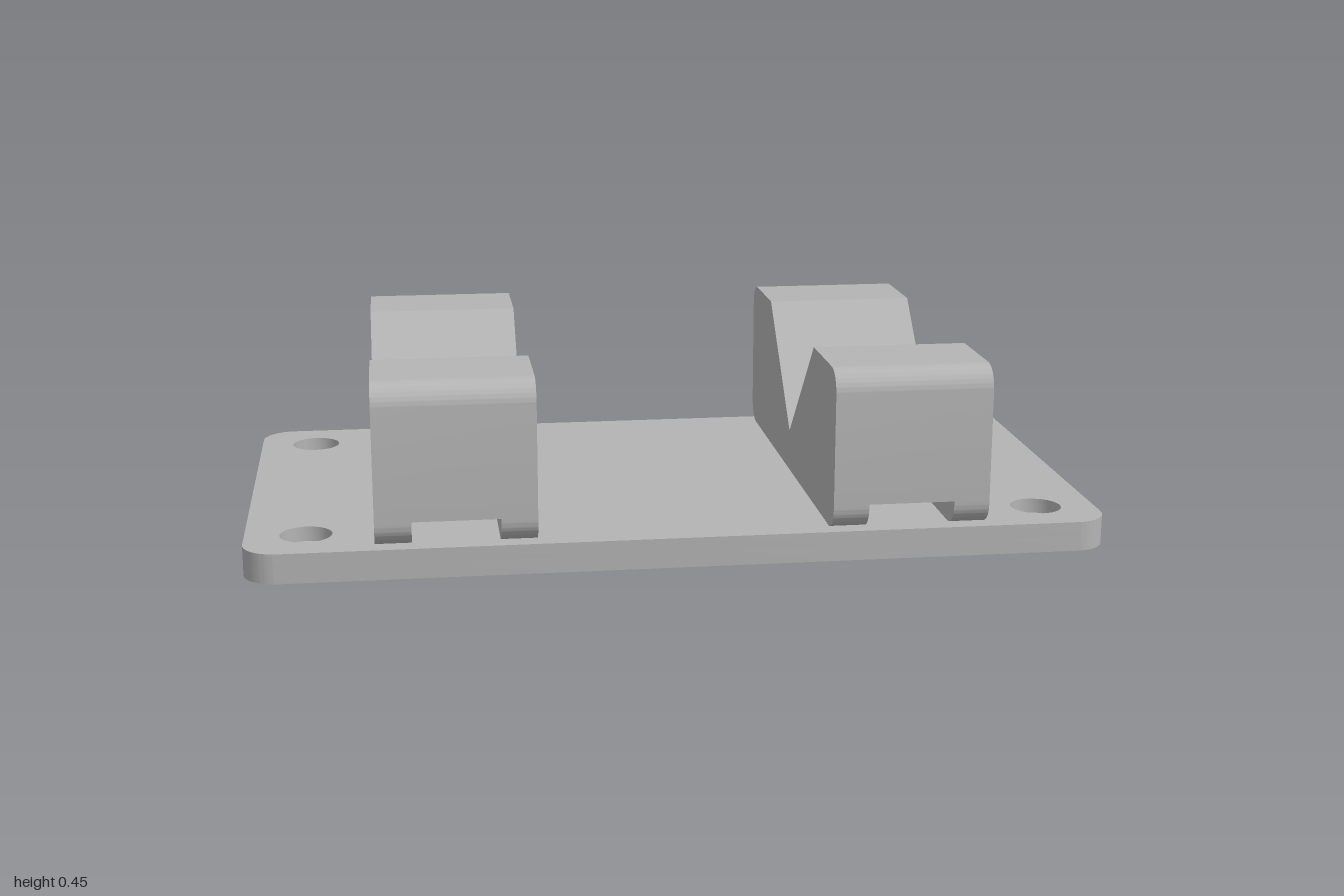
import * as THREE from 'three';
import { toCreasedNormals } from 'three/addons/utils/BufferGeometryUtils.js';

const PLATE_TOP = 0.07, HALF_X = 1, HALF_Z = 0.533;

// extrude a flat shape, keeping arcs smooth and edges sharp
function extrude(shape, depth) {
  const geo = new THREE.ExtrudeGeometry(shape, { depth, bevelEnabled: false, curveSegments: 16 });
  return toCreasedNormals(geo, 0.5);
}

// rounded plate outline with four round holes
function plateShape(holeRadius) {
  const r = 0.08, x = HALF_X - r, z = HALF_Z - r, q = Math.PI / 2;
  const s = new THREE.Shape();
  s.absarc(x, z, r, 0, q);
  s.absarc(-x, z, r, q, 2 * q);
  s.absarc(-x, -z, r, 2 * q, 3 * q);
  s.absarc(x, -z, r, 3 * q, 4 * q);
  s.closePath();
  for (const sx of [-1, 1]) for (const sz of [-1, 1]) {
    s.holes.push(new THREE.Path().absarc(sx * 0.86, sz * 0.395, holeRadius, 0, Math.PI * 2, true));
  }
  return s;
}

// block profile above the channel, with the V notch
function cradleShape(bottom) {
  const top = 0.447, r = 0.055, q = Math.PI / 2, z = HALF_Z;
  const s = new THREE.Shape();
  s.moveTo(-z, bottom);
  s.lineTo(z, bottom);
  s.absarc(z - r, top - r, r, 0, q);
  s.lineTo(0.277, top);
  s.lineTo(0, 0.17);
  s.lineTo(-0.277, top);
  s.absarc(-z + r, top - r, r, q, 2 * q);
  s.closePath();
  return s;
}

// strip under the cradle with rounded lower ends
function footShape(top) {
  const r = 0.055, q = Math.PI / 2, z = HALF_Z;
  const s = new THREE.Shape();
  s.moveTo(z, top);
  s.lineTo(-z, top);
  s.absarc(-z + r, PLATE_TOP + r, r, 2 * q, 3 * q);
  s.absarc(z - r, PLATE_TOP + r, r, 3 * q, 4 * q);
  s.closePath();
  return s;
}

export function createModel() {
  const model = new THREE.Group();
  model.name = 'vBlockStand';
  const grey = new THREE.MeshStandardMaterial({ color: 0xb4b4b4 });
  grey.name = 'grey';

  const add = (parent, geo, name) => {
    const mesh = new THREE.Mesh(geo, grey);
    mesh.name = name;
    parent.add(mesh);
    return mesh;
  };

  // base plate in two layers, giving counterbored screw holes
  const ledge = 0.035;
  const plate = new THREE.Group();
  plate.name = 'basePlate';
  model.add(plate);
  const layer = (radius, y0, y1, name) =>
    add(plate, extrude(plateShape(radius), y1 - y0).rotateX(-Math.PI / 2).translate(0, y0, 0), name);
  layer(0.034, 0, ledge, 'plateLower');
  layer(0.06, ledge, PLATE_TOP, 'plateUpper');

  // two V blocks, each on two feet with a strap channel between
  const width = 0.366, channel = 0.2, channelTop = 0.132;
  const footWidth = (width - channel) / 2;
  const across = (shape, w) => extrude(shape, w).translate(0, 0, -w / 2).rotateY(-Math.PI / 2);
  for (const side of [-1, 1]) {
    const block = new THREE.Group();
    block.name = side > 0 ? 'leftVBlock' : 'rightVBlock';
    block.position.x = side * 0.521;
    add(block, across(cradleShape(channelTop), width), 'cradle');
    for (const s of [-1, 1]) {
      const foot = add(block, across(footShape(channelTop), footWidth), 'foot');
      foot.position.x = s * (channel + footWidth) / 2;
    }
    model.add(block);
  }
  return model;
}
